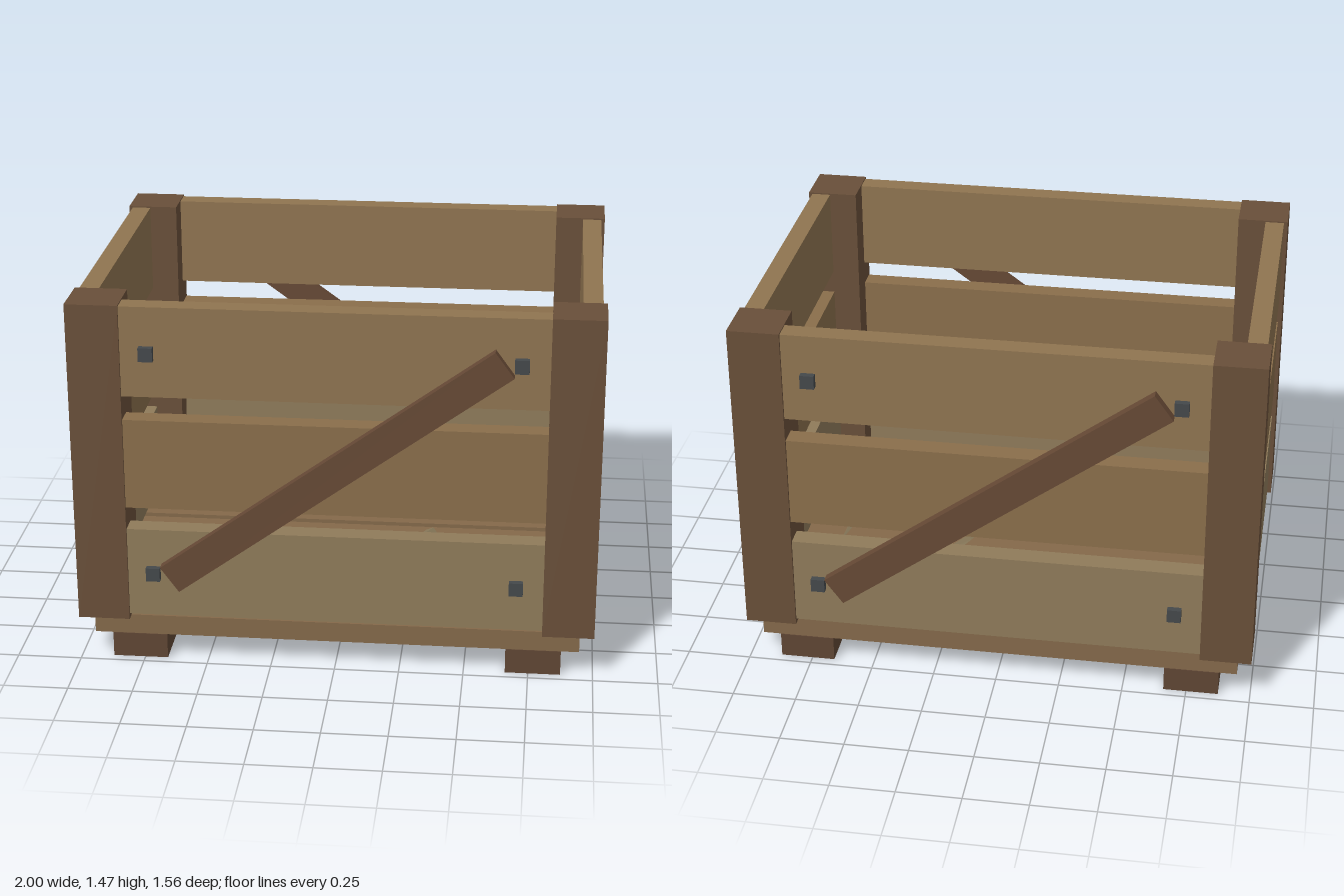
import * as THREE from 'three';

const material = (color) => new THREE.MeshStandardMaterial({ color, flatShading: true });
const wood = {
  slat: [0x8f7b5a, 0x8a6e4b, 0x8f7450].map(material),
  floor: material(0x84694a),
  post: material(0x694f39),
  runner: material(0x5f4634),
  brace: material(0x664935),
  splinter: material(0x8c7c5c),
};
const iron = material(0x44484b);

// Box given by its lower and upper limits on each axis
function box(name, mat, [x0, x1], [y0, y1], [z0, z1]) {
  const mesh = new THREE.Mesh(new THREE.BoxGeometry(x1 - x0, y1 - y0, z1 - z0), mat);
  mesh.position.set((x0 + x1) / 2, (y0 + y1) / 2, (z0 + z1) / 2);
  mesh.name = name;
  return mesh;
}

// Thin bent sliver with a triangular section; stations are [x, z, width]
function splinter(stations, y, height) {
  const pos = [], index = [];
  const last = stations.length - 1;
  stations.forEach(([x, z, w], i) => {
    const a = stations[Math.max(i - 1, 0)], b = stations[Math.min(i + 1, last)];
    const d = new THREE.Vector2(b[0] - a[0], b[1] - a[1]).normalize();
    const sx = -d.y * w / 2, sz = d.x * w / 2;
    const h = height * Math.min(1, w / 0.04);
    pos.push(x + sx, y, z + sz, x + sx * 0.3, y + h, z + sz * 0.3, x - sx, y, z - sz);
  });
  for (let i = 0; i < last; i++) {
    for (let k = 0; k < 3; k++) {
      const a = i * 3 + k, b = i * 3 + (k + 1) % 3;
      index.push(a, a + 3, b, b, a + 3, b + 3);
    }
  }
  index.push(0, 1, 2, last * 3, last * 3 + 2, last * 3 + 1);
  const geo = new THREE.BufferGeometry();
  geo.setAttribute('position', new THREE.Float32BufferAttribute(pos, 3));
  geo.setIndex(index);
  geo.computeVertexNormals();
  const mesh = new THREE.Mesh(geo, wood.splinter);
  mesh.name = 'splinter';
  return mesh;
}

// Long side: three slats, a diagonal brace and four square bolts
function longSide(name, rows) {
  const side = new THREE.Group();
  side.name = name;
  rows.forEach((y, i) => side.add(box('longSlat', wood.slat[i], [-0.8, 0.8], y, [0.66, 0.74])));

  const brace = new THREE.Mesh(new THREE.BoxGeometry(1.564, 0.122, 0.04), wood.brace);
  brace.position.set(0, 0.83, 0.76);
  brace.rotation.z = Math.atan2(0.92, 1.265);
  brace.name = 'brace';
  side.add(brace);

  for (const x of [-0.7, 0.695]) {
    for (const y of [0.38, 1.28]) {
      side.add(box('bolt', iron, [x - 0.027, x + 0.027], [y - 0.027, y + 0.027], [0.73, 0.765]));
    }
  }
  return side;
}

export function createModel() {
  const crate = new THREE.Group();
  crate.name = 'crate';
  const rows = [[0.2, 0.56], [0.65, 1.01], [1.105, 1.46]];

  // Runners and floor
  for (const x of [-0.768, 0.768]) {
    crate.add(box('runner', wood.runner, [x - 0.107, x + 0.107], [0, 0.1], [-0.713, 0.713]));
  }
  for (const [z0, z1] of [[-0.71, -0.26], [-0.225, 0.222], [0.26, 0.71]]) {
    crate.add(box('floorBoard', wood.floor, [-0.945, 0.945], [0.1, 0.18], [z0, z1]));
  }

  // Corner posts
  for (const x of [-0.9, 0.9]) {
    for (const z of [-0.65, 0.65]) {
      crate.add(box('cornerPost', wood.post, [x - 0.1, x + 0.1], [0.18, 1.465], [z - 0.1, z + 0.1]));
    }
  }

  // Front and back, the back being the front turned round
  const back = longSide('backSide', rows);
  back.rotation.y = Math.PI;
  crate.add(longSide('frontSide', rows), back);

  // Short sides
  for (const s of [-1, 1]) {
    rows.forEach((y, i) => {
      const x = [0.91 * s, 0.985 * s].sort((a, b) => a - b);
      crate.add(box('shortSlat', wood.slat[i], x, y, [-0.55, 0.55]));
    });
  }

  // Loose splinters on the floor
  const slivers = [
    [[-0.65, -0.58, 0.004], [-0.42, -0.555, 0.03], [-0.17, -0.445, 0.055]],
    [[0.165, 0.155, 0.004], [0.235, -0.02, 0.03], [0.32, -0.18, 0.055]],
    [[0.6, 0.345, 0.06], [0.735, 0.12, 0.045], [0.76, -0.1, 0.004]],
    [[-0.475, 0.252, 0.06], [-0.2, 0.32, 0.045], [-0.03, 0.342, 0.004]],
  ];
  slivers.forEach((stations) => crate.add(splinter(stations, 0.181, 0.02)));

  return crate;
}
